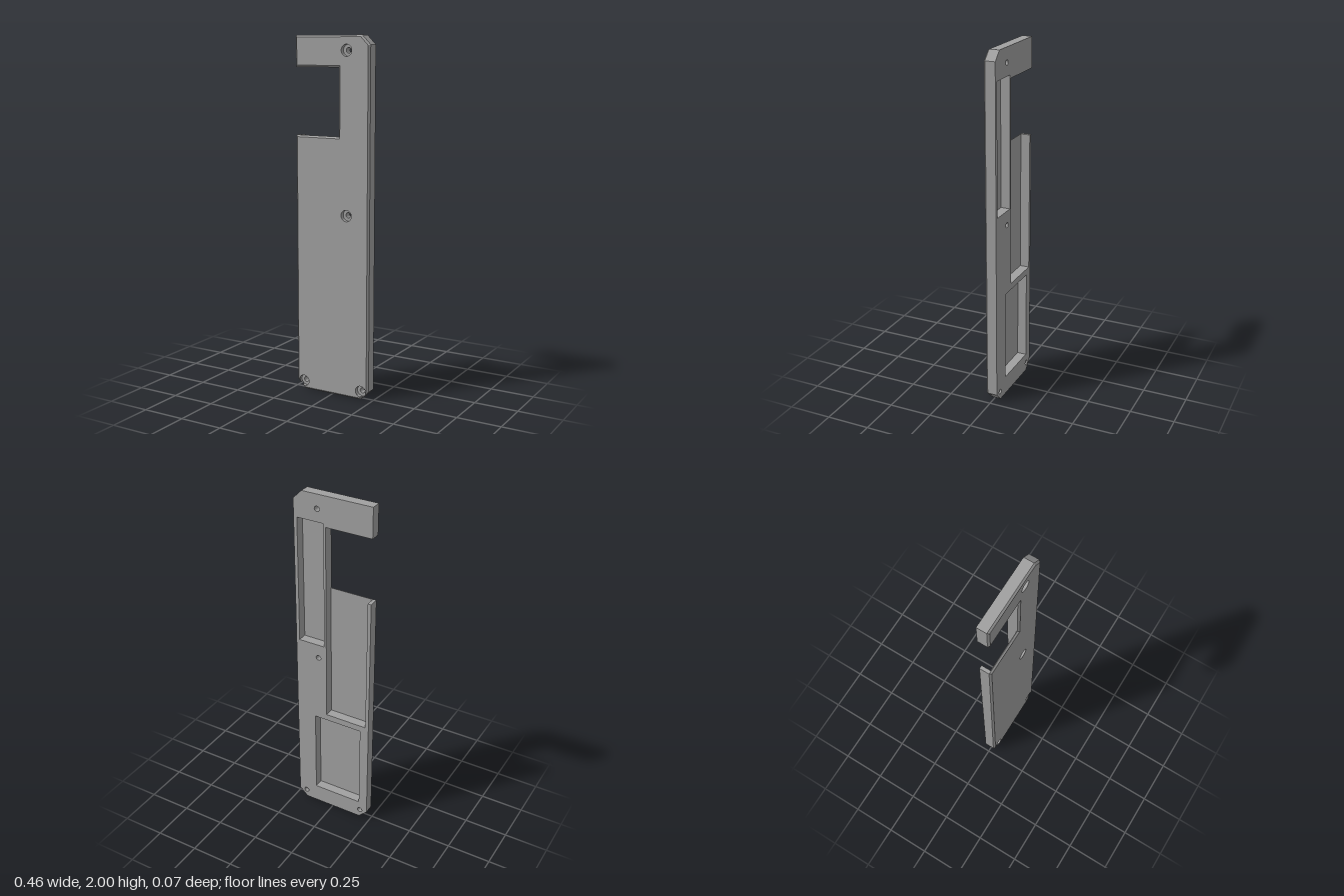
import * as THREE from 'three';
import { mergeGeometries } from 'three/addons/utils/BufferGeometryUtils.js';

// Depth levels from back to front
const Z_BACK = -0.0335, Z_BORE = 0.008, Z_FLOOR = 0.02, Z_BEVEL = 0.0235, Z_FRONT = 0.0335;
const BEVEL = 0.01, BORE_R = 0.032, HOLE_R = 0.015;
const CORNER = [0.184, 0.048];                 // bottom screw, mirrored in x
const UPPER = [[0.09, 1.92], [0.09, 1.033]];   // upper screws

const mirror = pts => pts.map(([x, y]) => [-x, y]).reverse();
const rect = (x0, x1, y0, y1) => [[x0, y0], [x1, y0], [x1, y1], [x0, y1]];

function circle([cx, cy], r, n = 32) {
  return Array.from({ length: n }, (_, i) => {
    const a = (i / n) * Math.PI * 2;
    return [cx + r * Math.cos(a), cy + r * Math.sin(a)];
  });
}

// Arc of the corner counterbore where it breaks through the chamfer
function cornerArc(inset) {
  const [cx, cy] = CORNER;
  const d = (0.18 - cx + cy) / Math.SQRT2 - inset;
  const half = Math.acos(d / BORE_R), n = 30;
  return Array.from({ length: n + 1 }, (_, i) => {
    const a = -Math.PI / 4 - half - (i / n) * (Math.PI * 2 - 2 * half);
    return [cx + BORE_R * Math.cos(a), cy + BORE_R * Math.sin(a)];
  });
}

// Counter-clockwise outline; the pocketed one opens the middle pocket into the notch
function outline(inset, bored, pocketed) {
  const i = inset, k = i * (Math.SQRT2 - 1);
  const corner = [[0.18 - k, i], ...(bored ? cornerArc(i) : []), [0.23 - i, 0.05 + k]];
  const pocket = pocketed
    ? [[0.04, 0.665], [-0.21, 0.665], [-0.21, 1.46]]
    : [[0.04 + i, 1.46 - i]];
  return [
    ...corner,
    [0.23 - i, 1.95 - k], [0.18 - k, 2 - i], [-0.23 + i, 2 - i],
    [-0.23 + i, 1.83 + i], [0.04 + i, 1.83 + i], ...pocket, [-0.23 + i, 1.46 - i],
    ...mirror(corner),
  ];
}

// Band of faces joining two matching loops; inward reverses it for holes
function wall(a, za, b, zb, inward = false) {
  const pos = [];
  a.forEach((p, i) => {
    const j = (i + 1) % a.length;
    const A = [...p, za], B = [...a[j], za], C = [...b[j], zb], D = [...b[i], zb];
    const quad = inward ? [A, C, B, A, D, C] : [A, B, C, A, C, D];
    pos.push(...quad.flat());
  });
  const g = new THREE.BufferGeometry();
  g.setAttribute('position', new THREE.Float32BufferAttribute(pos, 3));
  g.computeVertexNormals();
  return g;
}

// Flat face with holes, looking forward or back
function face(pts, holes, z, back = false) {
  const vec = list => list.map(([x, y]) => new THREE.Vector2(x, y));
  const shape = new THREE.Shape(vec(pts));
  shape.holes = holes.map(h => new THREE.Path(vec(h)));
  const g = new THREE.ShapeGeometry(shape).toNonIndexed();
  g.deleteAttribute('uv');
  if (back) g.rotateY(Math.PI).scale(1, 1, 1);
  if (back) {
    // the turn mirrored x, so restore it and reverse the corner order
    const p = g.attributes.position;
    for (let t = 0; t < p.count; t += 3) {
      const c = [0, 2, 1].map(o => [-p.getX(t + o), p.getY(t + o)]);
      c.forEach(([x, y], o) => p.setXYZ(t + o, x, y, 0));
    }
  }
  g.translate(0, 0, z);
  g.computeVertexNormals();
  return g;
}

export function createModel() {
  const model = new THREE.Group();
  model.name = 'coverPlate';
  const grey = new THREE.MeshStandardMaterial({ color: 0xa0a0a0 });
  grey.name = 'grey';
  const add = (name, ...parts) => {
    const mesh = new THREE.Mesh(mergeGeometries(parts), grey);
    mesh.name = name;
    model.add(mesh);
  };

  const sidePocket = rect(0.053, 0.21, 1.115, 1.848);
  const lowerPocket = rect(-0.177, 0.115, 0.107, 0.628);
  const middlePocket = rect(-0.21, 0.04, 0.665, 1.46);
  const corners = [CORNER, [-CORNER[0], CORNER[1]]];
  const screwHoles = [...UPPER, ...corners].map(c => circle(c, HOLE_R));
  const upperBores = UPPER.map(c => circle(c, BORE_R));

  // Flat faces
  add('backFace', face(outline(0, false, true), [sidePocket, lowerPocket, ...screwHoles], Z_BACK, true));
  const rim = outline(BEVEL, true, false);
  add('frontFace', face(rim, upperBores, Z_FRONT));

  // Outer walls, with the middle pocket and corner counterbores cut in
  const plain = outline(0, false, true), bored = outline(0, true, true);
  const edge = outline(0, true, false);
  add('sideWalls',
    wall(plain, Z_BACK, plain, Z_BORE),
    wall(bored, Z_BORE, bored, Z_FLOOR),
    wall(edge, Z_FLOOR, edge, Z_BEVEL));
  add('frontBevel', wall(edge, Z_BEVEL, rim, Z_FRONT));

  // Pockets in the back
  add('pocketWalls', ...[sidePocket, lowerPocket].map(p => wall(p, Z_BACK, p, Z_FLOOR, true)));
  add('pocketFloors', ...[sidePocket, lowerPocket, middlePocket].map(p => face(p, [], Z_FLOOR, true)));

  // Screw holes and counterbores
  add('screwHoles', ...screwHoles.map(h => wall(h, Z_BACK, h, Z_BORE, true)));
  add('counterboreWalls', ...upperBores.map(b => wall(b, Z_BORE, b, Z_FRONT, true)));
  const seats = [...upperBores, cornerArc(0), mirror(cornerArc(0))];
  add('counterboreSeats', ...seats.map((s, i) => face(s, [screwHoles[i]], Z_BORE)));

  return model;
}
